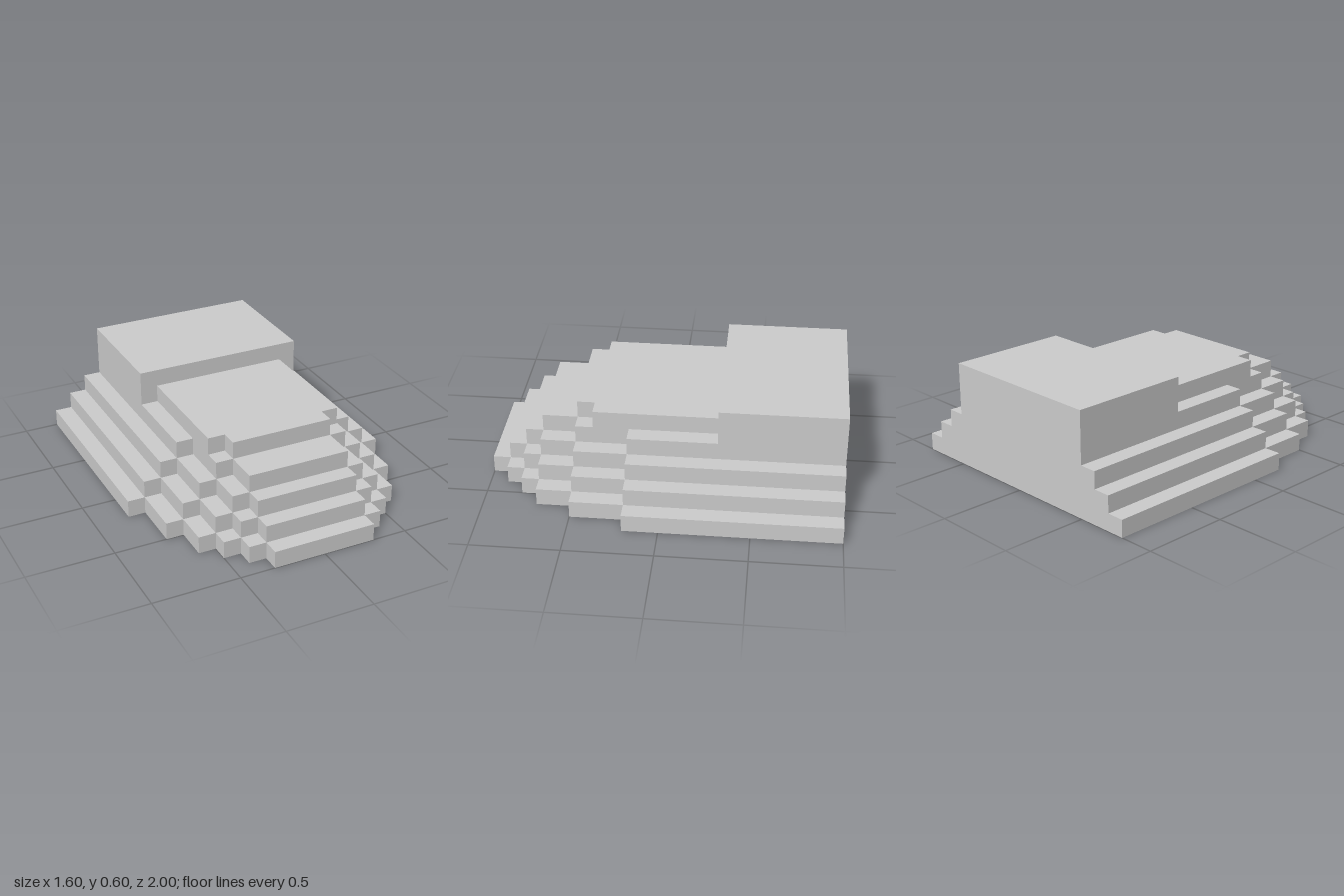
import * as THREE from 'three';

const BACK = -1;
const material = new THREE.MeshStandardMaterial({ color: 0xcccccc, flatShading: true });

// Slab with a stepped front: steps are [half width, front z], widest first.
function steppedSlab(name, bottom, height, steps) {
  const right = [[steps[0][0], BACK]];
  steps.forEach(([w, z], i) => {
    right.push([w, z]);
    if (i + 1 < steps.length) right.push([steps[i + 1][0], z]);
  });
  const left = right.map(([x, z]) => [-x, z]).reverse();
  const outline = [...right, ...left].map(([x, z]) => new THREE.Vector2(x, -z));
  const geometry = new THREE.ExtrudeGeometry(new THREE.Shape(outline), { depth: height, bevelEnabled: false });
  geometry.rotateX(-Math.PI / 2);
  const mesh = new THREE.Mesh(geometry, material);
  mesh.name = name;
  mesh.position.y = bottom;
  return mesh;
}

export function createModel() {
  const group = new THREE.Group();
  group.name = 'steppedHull';

  // Four terraces, each one step narrower and shorter than the one below
  const fronts = [0.2, 0.5, 0.7, 0.8, 0.9, 1.0];
  for (let level = 0; level < 4; level++) {
    const steps = fronts.slice(0, 6 - level).map((z, i) => [0.8 - 0.1 * (level + i), z]);
    group.add(steppedSlab(`terrace${level + 1}`, level * 0.1, 0.1, steps));
  }

  // Low deck with notched front corners, running back to the rear block
  group.add(steppedSlab('upperDeck', 0.4, 0.1, [[0.4, 0.4], [0.3, 0.5]]));

  // Tall block at the back
  group.add(steppedSlab('rearBlock', 0.4, 0.2, [[0.5, -0.3]]));

  return group;
}
